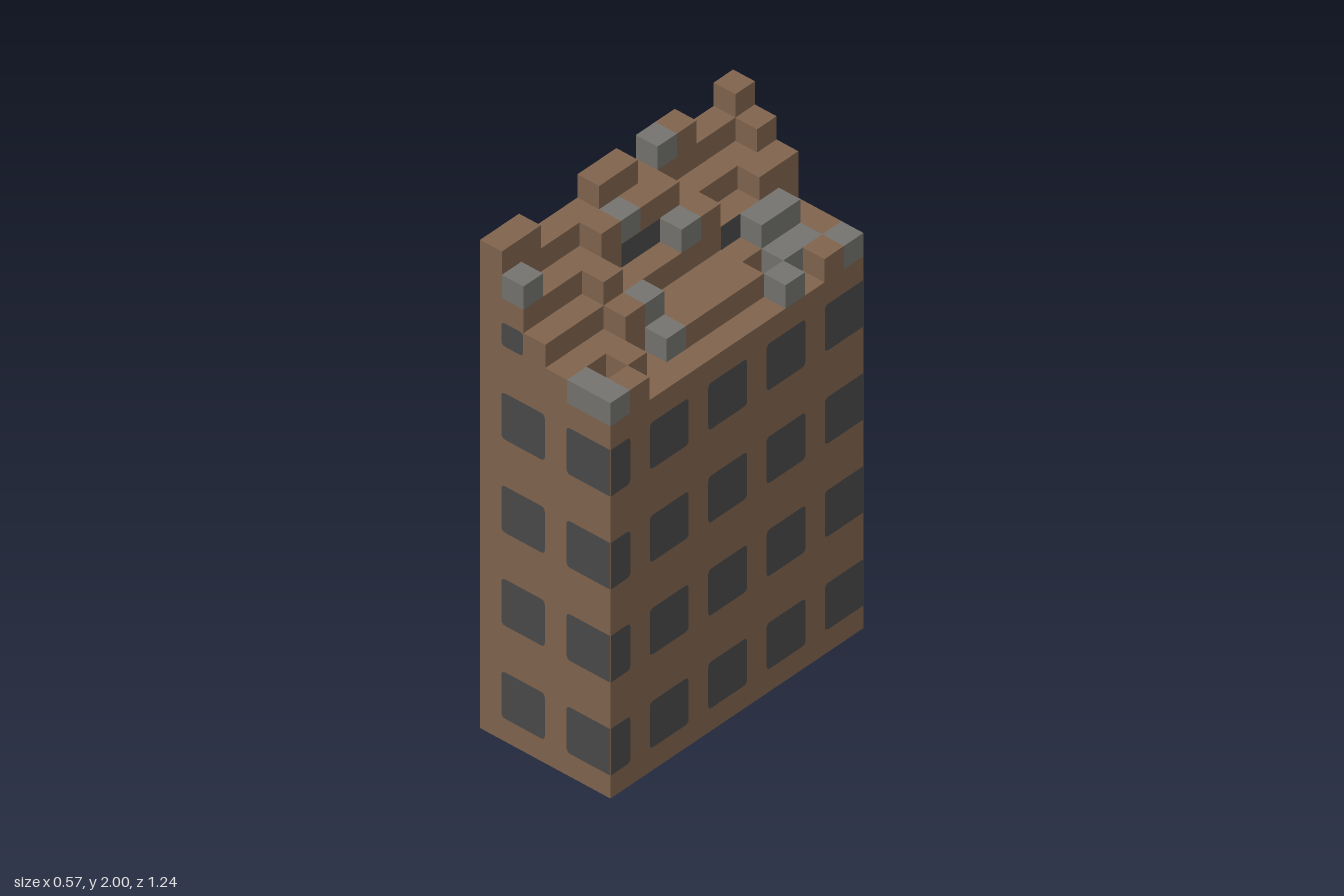
import * as THREE from 'three';
import { mergeGeometries } from 'three/addons/utils/BufferGeometryUtils.js';

const U = 2 / 21;            // block size
const NX = 6, NZ = 13, BASE = 16;

// Block heights of the broken top, one row per x column, listed from back to front
const HEIGHTS = [
  [21, 20, 20, 21, 21, 20, 21, 21, 20, 20, 20, 21, 21],
  [20, 19, 19, 19, 19, 20, 20, 20, 20, 19, 19, 19, 20],
  [19, 19, 18, 18, 19, 19, 18, 18, 18, 19, 18, 18, 18],
  [17, 18, 18, 17, 17, 17, 17, 17, 18, 18, 17, 17, 17],
  [17, 17, 17, 16, 17, 17, 17, 17, 17, 16, 17, 16, 17],
  [17, 17, 16, 17, 16, 16, 16, 16, 16, 16, 16, 17, 17],
];
// Columns capped with a grey stone block: "x,z"
const STONES = new Set(['0,4', '1,7', '1,12', '2,5', '3,1', '3,2', '3,8',
  '4,1', '4,2', '4,8', '4,12', '5,0', '5,3', '5,12']);

const px = (i) => (i - NX / 2) * U;
const pz = (k) => (k - NZ / 2) * U;
const heightAt = (i, k) => (i < 0 || k < 0 || i >= NX || k >= NZ ? BASE : HEIGHTS[i][k]);

// Turns a plane that faces +z towards the named side, then places it
const TURN = { front: 0, right: Math.PI / 2, back: Math.PI, left: -Math.PI / 2 };
function place(g, side, x, y, z) {
  if (side === 'up') g.rotateX(-Math.PI / 2);
  else if (side === 'down') g.rotateX(Math.PI / 2);
  else g.rotateY(TURN[side]);
  return g.translate(x, y, z);
}
const face = (w, h, side, x, y, z) => place(new THREE.PlaneGeometry(w, h), side, x, y, z);

// Window pane with rounded corners; a side cut by the wall corner stays square
function pane(w, h, roundLeft, roundRight) {
  const r = 0.018, a = roundLeft ? r : 0, b = roundRight ? r : 0;
  const x = w / 2, y = h / 2, s = new THREE.Shape();
  s.moveTo(-x + a, -y);
  s.lineTo(x - b, -y);
  if (b) s.quadraticCurveTo(x, -y, x, -y + b);
  s.lineTo(x, y - b);
  if (b) s.quadraticCurveTo(x, y, x - b, y);
  s.lineTo(-x + a, y);
  if (a) s.quadraticCurveTo(-x, y, -x, y - a);
  s.lineTo(-x, -y + a);
  if (a) s.quadraticCurveTo(-x, -y, -x + a, -y);
  return new THREE.ShapeGeometry(s, 4);
}

function buildWalls() {
  const h = BASE * U, w = NX * U, d = NZ * U;
  return mergeGeometries([
    face(w, h, 'front', 0, h / 2, d / 2),
    face(w, h, 'back', 0, h / 2, -d / 2),
    face(d, h, 'right', w / 2, h / 2, 0),
    face(d, h, 'left', -w / 2, h / 2, 0),
    face(w, d, 'down', 0, 0, 0),
  ]);
}

// Exposed faces of the broken top, split into brick and stone
function buildRuin() {
  const brick = [], stone = [];
  const sides = [['right', 1, 0], ['left', -1, 0], ['front', 0, 1], ['back', 0, -1]];
  for (let i = 0; i < NX; i++) {
    for (let k = 0; k < NZ; k++) {
      const top = HEIGHTS[i][k], capped = STONES.has(`${i},${k}`);
      const x = px(i + 0.5), z = pz(k + 0.5);
      (capped ? stone : brick).push(face(U, U, 'up', x, top * U, z));
      for (const [side, dx, dz] of sides) {
        for (let j = heightAt(i + dx, k + dz); j < top; j++) {
          const list = capped && j === top - 1 ? stone : brick;
          list.push(face(U, U, side, x + dx * U / 2, (j + 0.5) * U, z + dz * U / 2));
        }
      }
    }
  }
  return { brick: mergeGeometries(brick), stone: mergeGeometries(stone) };
}

function buildWindows() {
  const out = 0.002, list = [];
  const zf = NZ * U / 2 + out, xr = NX * U / 2 + out;
  for (let floor = 0; floor < 4; floor++) {
    const y = (floor * 4 + 2) * U;
    // front and back: two windows, the outer one reaching the corner
    for (const i of [1, 4]) {
      const inner = i === 1;
      list.push(place(pane(2 * U, 2 * U, true, inner), 'front', px(i + 1), y, zf));
      list.push(place(pane(2 * U, 2 * U, inner, true), 'back', px(i + 1), y, -zf));
    }
    // right side: four whole windows and a half one at the front corner
    for (let k = 0; k < NZ; k += 3) {
      const n = k === 12 ? 1 : 2;
      list.push(place(pane(n * U, 2 * U, k !== 12, k !== 0), 'right', xr, y, pz(k + n / 2)));
    }
  }
  // remains of the top floor's windows
  list.push(place(pane(U, U, true, true), 'front', px(1.5), 17.5 * U, zf));
  list.push(place(pane(U, U, true, true), 'back', px(1.5), 17.5 * U, -zf));
  list.push(place(pane(2 * U, U, false, false), 'right', px(2) + out, 18.5 * U, pz(7)));
  list.push(place(pane(U, U, false, false), 'right', px(3) + out, 17.5 * U, pz(3.5)));
  return mergeGeometries(list);
}

export function createModel() {
  const brickBrown = new THREE.MeshStandardMaterial({ color: 0x80644d });
  const stoneGrey = new THREE.MeshStandardMaterial({ color: 0x74736e });
  const windowDark = new THREE.MeshStandardMaterial({ color: 0x4a4a4a });
  brickBrown.name = 'brickBrown';
  stoneGrey.name = 'stoneGrey';
  windowDark.name = 'windowDark';

  const group = new THREE.Group();
  group.name = 'ruinedBuilding';
  const add = (name, geometry, material) => {
    const mesh = new THREE.Mesh(geometry, material);
    mesh.name = name;
    group.add(mesh);
  };
  const ruin = buildRuin();
  add('walls', buildWalls(), brickBrown);
  add('brokenTop', ruin.brick, brickBrown);
  add('stoneBlocks', ruin.stone, stoneGrey);
  add('windows', buildWindows(), windowDark);
  return group;
}
